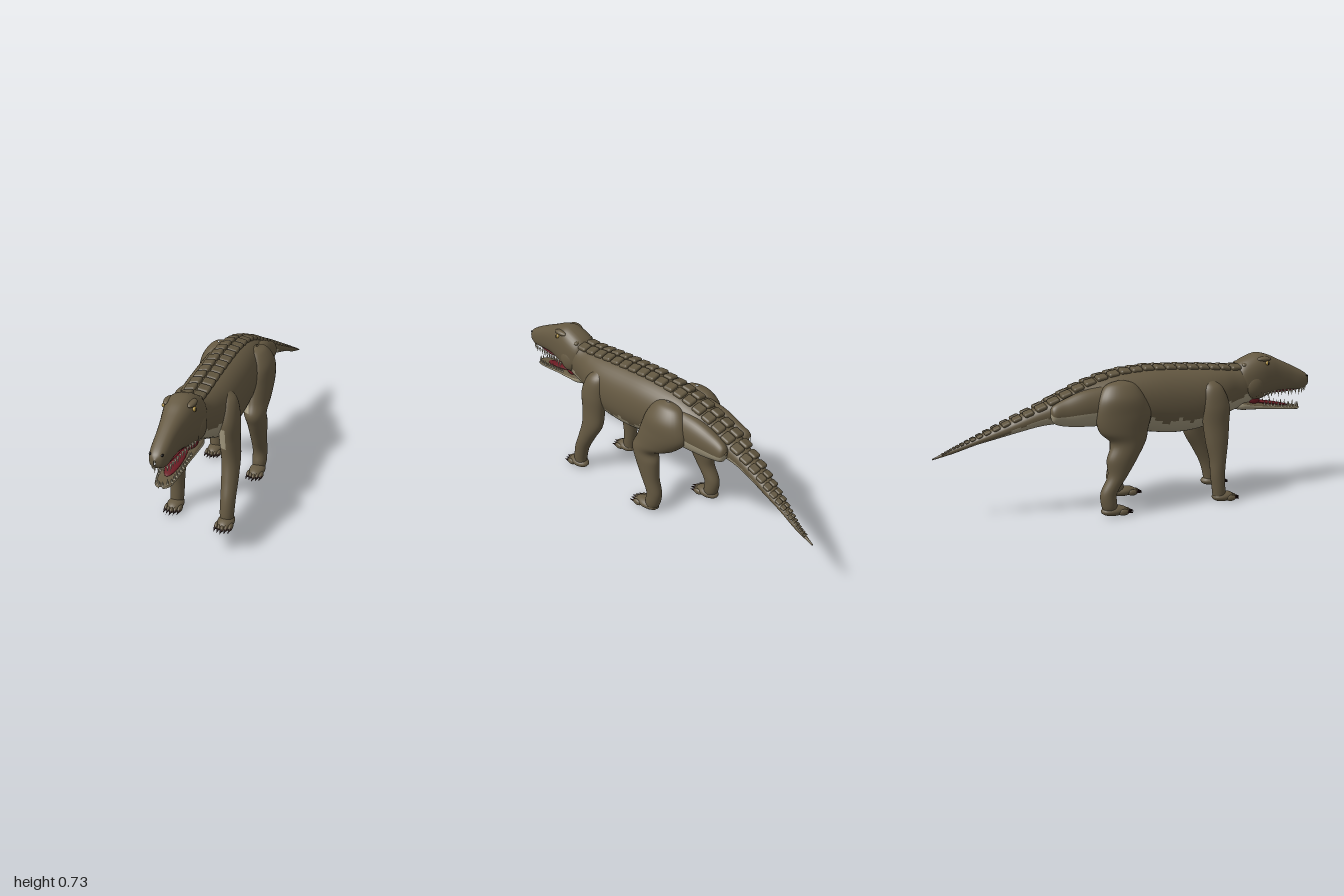
import * as THREE from 'three';
import { RoundedBoxGeometry } from 'three/addons/geometries/RoundedBoxGeometry.js';

const mat = (name, color) => {
  const m = new THREE.MeshStandardMaterial({ color });
  m.name = name;
  return m;
};

export function createModel() {
  const model = new THREE.Group();
  const skin = mat('olive brown skin', 0x655942);
  const belly = mat('pale belly', 0xa0967c);
  const scute = mat('back scutes', 0x60553f);
  const claw = mat('dark claws', 0x2a1614);
  const flesh = mat('mouth red', 0x6a1a22);
  const tooth = mat('ivory teeth', 0xd2c8ac);
  const eyeMat = mat('amber eye', 0xa88a3c);
  const black = mat('black', 0x15110e);

  const add = (name, geo, material, parent = model) => {
    const m = new THREE.Mesh(geo, material);
    m.name = name;
    parent.add(m);
    return m;
  };
  const ball = (name, material, pos, scale, parent = model) => {
    const m = add(name, new THREE.SphereGeometry(1, 20, 14), material, parent);
    m.position.set(...pos);
    m.scale.set(...scale);
    return m;
  };

  // Smooth skin over oval rings [x, y, z, rx, rv]; rings lie across z or across y.
  // isPale(u, v, centre) picks the faces of the second material.
  const loft = (name, rings, { axis = 'z', power = 1, sides = 36, per = 7, isPale = () => false, mats = [skin, belly] } = {}) => {
    const centres = new THREE.CatmullRomCurve3(rings.map(r => new THREE.Vector3(r[0], r[1], r[2])));
    const radii = new THREE.CatmullRomCurve3(rings.map(r => new THREE.Vector3(r[3], r[4], 0)));
    centres.curveType = radii.curveType = 'catmullrom';
    const steps = (rings.length - 1) * per, pos = [], main = [], pale = [];
    const bend = c => Math.sign(c) * Math.abs(c) ** power;
    for (let i = 0; i <= steps; i++) {
      const c = centres.getPoint(i / steps), r = radii.getPoint(i / steps);
      for (let j = 0; j < sides; j++) {
        const a = j / sides * Math.PI * 2;
        const u = bend(Math.cos(a)) * Math.max(r.x, 0.001), v = bend(Math.sin(a)) * Math.max(r.y, 0.001);
        pos.push(c.x + u, c.y + (axis === 'z' ? v : 0), c.z + (axis === 'y' ? v : 0));
        if (i === steps) continue;
        const k = (j + 1) % sides, p = i * sides, q = p + sides, mid = a + Math.PI / sides;
        const list = isPale(Math.cos(mid), Math.sin(mid), c) ? pale : main;
        list.push(p + j, p + k, q + k, p + j, q + k, q + j);
      }
    }
    const geo = new THREE.BufferGeometry();
    geo.setAttribute('position', new THREE.Float32BufferAttribute(pos, 3));
    geo.setIndex([...main, ...pale]);
    geo.addGroup(0, main.length, 0);
    geo.addGroup(main.length, pale.length, 1);
    geo.computeVertexNormals();
    return add(name, geo, mats);
  };
  // Side profile rows [z, x, top, bottom, half width] turned into rings
  const profile = rows => rows.map(([z, x, t, b, w]) => [x, (t + b) / 2, z, w, (t - b) / 2]);

  // Trunk, neck and tail
  const trunk = [
    [-1, 0.105, 0.312, 0.306, 0.003], [-0.9, 0.09, 0.36, 0.333, 0.014], [-0.8, 0.065, 0.407, 0.37, 0.028],
    [-0.7, 0.043, 0.455, 0.398, 0.04], [-0.6, 0.022, 0.503, 0.425, 0.05], [-0.5, 0.008, 0.547, 0.447, 0.058],
    [-0.4, 0, 0.592, 0.455, 0.075], [-0.3, 0, 0.635, 0.45, 0.095], [-0.2, 0, 0.668, 0.43, 0.115],
    [-0.1, 0, 0.69, 0.4, 0.13], [0.05, 0, 0.7, 0.375, 0.14], [0.2, 0, 0.695, 0.357, 0.141],
    [0.35, 0, 0.685, 0.37, 0.136], [0.45, 0, 0.677, 0.41, 0.115], [0.53, 0, 0.673, 0.44, 0.09],
    [0.6, 0, 0.685, 0.455, 0.078], [0.66, 0, 0.68, 0.48, 0.06], [0.7, 0, 0.62, 0.53, 0.01]];
  const paleUnder = (u, v, c) => {
    const edge = c.z < -0.65 ? -0.6 : c.z < -0.2 ? -0.15 : c.z > 0.4 ? -0.35 : -0.5;
    return v < edge + 0.07 * Math.sin(c.z * 45);
  };
  loft('trunk and tail', profile(trunk), { power: 0.92, sides: 48, isPale: paleUnder });

  // Skull and lower jaw
  loft('skull', profile([
    [0.54, 0, 0.66, 0.52, 0.05], [0.57, 0, 0.69, 0.495, 0.076], [0.62, 0, 0.716, 0.48, 0.085],
    [0.68, 0, 0.733, 0.485, 0.082], [0.74, 0, 0.72, 0.505, 0.071], [0.8, 0, 0.693, 0.52, 0.058],
    [0.87, 0, 0.662, 0.522, 0.048], [0.94, 0, 0.628, 0.52, 0.042], [0.982, 0, 0.602, 0.535, 0.03],
    [1, 0, 0.578, 0.556, 0.004]]), { power: 0.82 });
  loft('lower jaw', profile([
    [0.54, 0, 0.5, 0.45, 0.04], [0.58, 0, 0.5, 0.44, 0.066], [0.65, 0, 0.478, 0.437, 0.062],
    [0.75, 0, 0.46, 0.43, 0.052], [0.85, 0, 0.443, 0.42, 0.046], [0.92, 0, 0.436, 0.414, 0.036],
    [0.945, 0, 0.428, 0.416, 0.008]]), { power: 0.8, isPale: (u, v) => v < 0.1 });
  ball('throat', flesh, [0, 0.49, 0.64], [0.056, 0.035, 0.06]);
  ball('palate', flesh, [0, 0.523, 0.8], [0.036, 0.008, 0.14]);
  ball('tongue', flesh, [0, 0.462, 0.75], [0.034, 0.01, 0.13]).rotation.x = 0.17;

  // Teeth along each lip
  const toothRow = (name, lip, count, up) => {
    const curve = new THREE.CatmullRomCurve3(lip.map(p => new THREE.Vector3(...p)));
    for (const side of [-1, 1]) for (let i = 0; i < count; i++) {
      const p = curve.getPointAt(i / (count - 1)), len = 0.024 + 0.012 * ((i * 2) % 3) / 2;
      const m = add(name, new THREE.ConeGeometry(0.0058, len, 7), tooth);
      m.position.set(p.x * side, p.y + up * len * 0.4, p.z);
      m.rotation.set(up > 0 ? 0 : Math.PI, 0, 0);
    }
  };
  toothRow('upper tooth', [[0.066, 0.525, 0.7], [0.054, 0.53, 0.78], [0.043, 0.527, 0.87], [0.035, 0.527, 0.94], [0.008, 0.54, 0.98]], 14, -1);
  toothRow('lower tooth', [[0.05, 0.462, 0.71], [0.045, 0.45, 0.78], [0.04, 0.438, 0.86], [0.03, 0.432, 0.915], [0.007, 0.427, 0.938]], 12, 1);

  // Brows, eyes and nostrils
  for (const s of [-1, 1]) {
    ball('brow', skin, [s * 0.053, 0.704, 0.695], [0.019, 0.013, 0.042]);
    ball('eye', eyeMat, [s * 0.068, 0.684, 0.708], [0.009, 0.011, 0.012]);
    ball('pupil', black, [s * 0.0752, 0.684, 0.71], [0.003, 0.008, 0.005]);
    ball('nostril', black, [s * 0.026, 0.594, 0.976], [0.006, 0.005, 0.009]);
    ball('cheek', skin, [s * 0.064, 0.57, 0.635], [0.028, 0.06, 0.055]);
    // Muscle lobe beside the tail root
    loft('hip lobe', profile([
      [-0.472, s * 0.085, 0.535, 0.515, 0.006], [-0.455, s * 0.082, 0.56, 0.475, 0.03], [-0.4, s * 0.076, 0.585, 0.455, 0.043],
      [-0.3, s * 0.078, 0.62, 0.445, 0.055], [-0.15, s * 0.08, 0.64, 0.44, 0.06]]), { isPale: (u, v) => v < -0.15 });
  }

  // Limbs, rows [y, z, distance from middle, rx, rz] from top to bottom
  const limb = (name, s, rows, isPale) => loft(name, rows.map(([y, z, x, rx, rz]) => [s * x, y, z, rx, rz]),
    { axis: 'y', sides: 28, isPale: (u, v, c) => isPale(u * s, v, c.y) });
  const foot = (name, x, z, len) => {
    const g = new THREE.Group();
    g.name = name;
    g.position.set(x, 0, z);
    model.add(g);
    ball('sole', skin, [0, 0.026, 0], [0.04, 0.026, len * 0.5], g);
    for (let i = -2; i <= 2; i++) {
      const reach = len * 0.5 - Math.abs(i) * 0.008, tx = i * 0.0165;
      ball('toe', skin, [tx, 0.02, reach - 0.012], [0.0105, 0.016, 0.028], g);
      const c = add('claw', new THREE.ConeGeometry(0.008, 0.036, 8), claw, g);
      c.position.set(tx * 1.05, 0.017, reach + 0.022);
      c.rotation.x = Math.PI / 2 + 0.25;
    }
  };
  const innerThigh = (u, v, y) => y > 0.38 && y < 0.53 && u < -0.3;
  const chest = (u, v, y) => y > 0.365 + 0.02 * v && y < 0.48 && u < 0.1 && v > -0.5;

  const thigh = [[0.662, -0.12, 0.1, 0.004, 0.01], [0.64, -0.125, 0.105, 0.042, 0.075], [0.58, -0.125, 0.117, 0.068, 0.118],
    [0.5, -0.115, 0.12, 0.071, 0.142]];
  limb('left hind leg', 1, [...thigh, [0.42, -0.065, 0.125, 0.064, 0.12], [0.36, 0, 0.13, 0.055, 0.08],
    [0.3, -0.012, 0.137, 0.049, 0.072], [0.2, -0.037, 0.14, 0.041, 0.05], [0.12, -0.062, 0.14, 0.037, 0.042],
    [0.06, -0.055, 0.14, 0.037, 0.042], [0.02, -0.045, 0.14, 0.03, 0.035]], innerThigh);
  limb('right hind leg', -1, [...thigh, [0.42, -0.115, 0.125, 0.064, 0.125], [0.36, -0.095, 0.13, 0.054, 0.09],
    [0.28, -0.13, 0.137, 0.049, 0.078], [0.2, -0.155, 0.14, 0.041, 0.05], [0.12, -0.2, 0.14, 0.037, 0.042],
    [0.06, -0.2, 0.14, 0.037, 0.04], [0.02, -0.19, 0.14, 0.03, 0.035]], innerThigh);
  const shoulder = [[0.635, 0.36, 0.09, 0.004, 0.01], [0.59, 0.37, 0.105, 0.042, 0.055], [0.5, 0.385, 0.118, 0.05, 0.075],
    [0.4, 0.388, 0.122, 0.047, 0.07]];
  limb('left foreleg', 1, [...shoulder, [0.31, 0.395, 0.13, 0.044, 0.064], [0.22, 0.435, 0.137, 0.04, 0.05],
    [0.14, 0.472, 0.14, 0.036, 0.042], [0.07, 0.49, 0.14, 0.034, 0.037], [0.02, 0.495, 0.14, 0.03, 0.034]], chest);
  limb('right foreleg', -1, [...shoulder, [0.31, 0.39, 0.13, 0.044, 0.06], [0.22, 0.393, 0.137, 0.04, 0.044],
    [0.14, 0.393, 0.14, 0.036, 0.038], [0.07, 0.4, 0.14, 0.034, 0.035], [0.02, 0.405, 0.14, 0.03, 0.034]], chest);
  foot('left hind foot', 0.14, -0.015, 0.145);
  foot('right hind foot', -0.14, -0.175, 0.135);
  foot('left forefoot', 0.14, 0.505, 0.125);
  foot('right forefoot', -0.14, 0.425, 0.12);

  // Paired armour plates along the back, shrinking down the tail
  const at = z => {
    const i = Math.max(1, trunk.findIndex(r => r[0] >= z)), a = trunk[i - 1], b = trunk[i];
    return a.map((n, k) => THREE.MathUtils.lerp(n, b[k], (z - a[0]) / (b[0] - a[0])));
  };
  const plate = new RoundedBoxGeometry(0.056, 0.024, 0.056, 3, 0.0115);
  for (let z = 0.6; z > -0.96;) {
    const [, cx, top, bottom, w] = at(z), size = THREE.MathUtils.clamp(w / 0.06, 0.2, 1);
    const slope = Math.atan((at(z + 0.03)[2] - at(z - 0.03)[2]) / 0.06), off = 0.031 * size;
    const h = (top - bottom) / 2, y = bottom + h + h * Math.sqrt(1 - (off / w) ** 2);
    for (const s of [-1, 1]) {
      const m = add('back plate', plate, scute);
      m.position.set(cx + s * off, y + 0.003 * size, z);
      m.rotation.set(0.09 - slope, 0, -s * 0.2);
      m.scale.setScalar(size);
    }
    z -= 0.061 * size;
  }
  return model;
}
